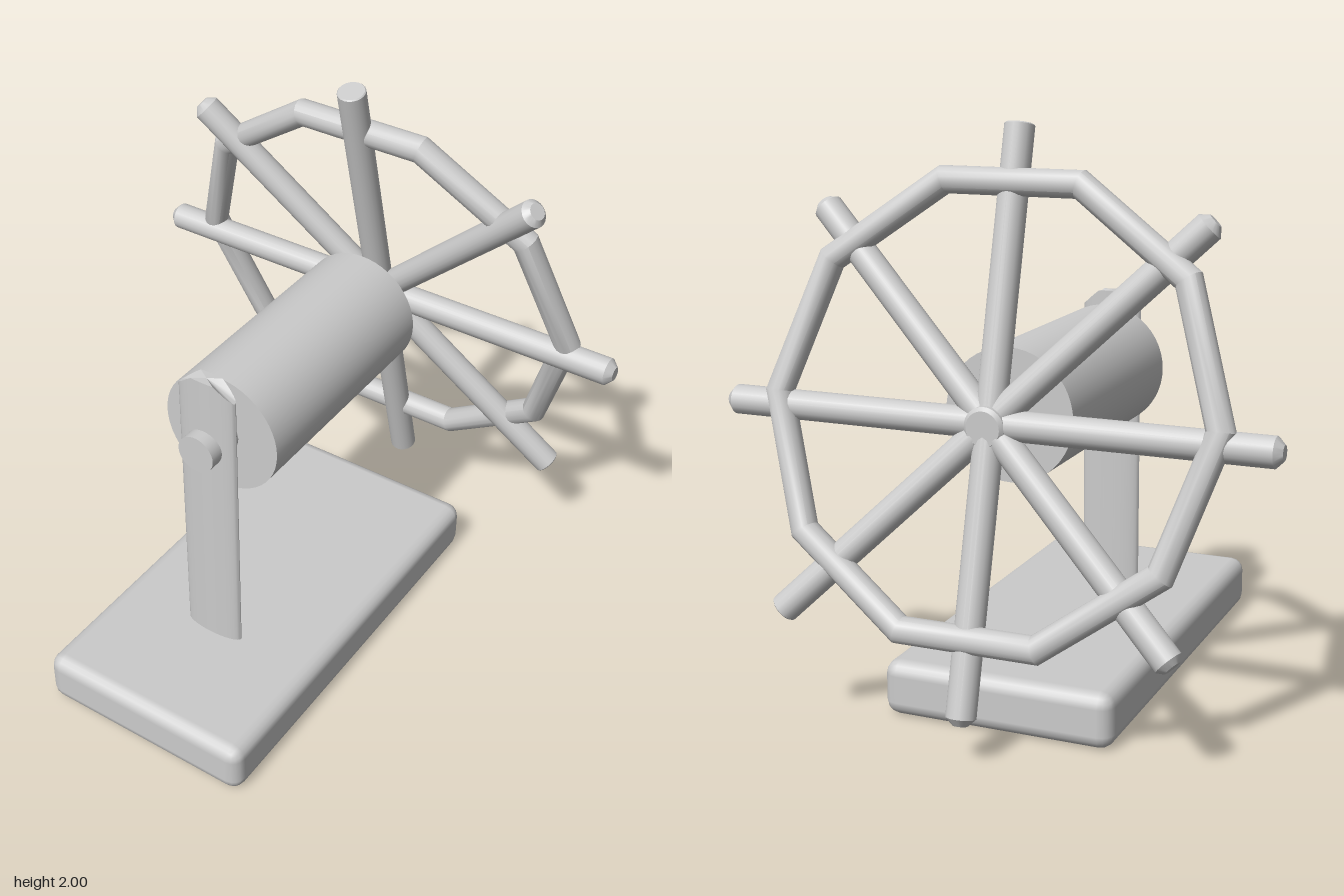
import * as THREE from 'three';
import { toCreasedNormals } from 'three/addons/utils/BufferGeometryUtils.js';
import { RoundedBoxGeometry } from 'three/addons/geometries/RoundedBoxGeometry.js';

const material = new THREE.MeshStandardMaterial({ color: 0xcccccc });
const AXIS_Y = 1.06;
const TILT = 0.262;

function add(parent, name, geometry, x = 0, y = 0, z = 0) {
  const mesh = new THREE.Mesh(geometry, material);
  mesh.name = name;
  mesh.position.set(x, y, z);
  parent.add(mesh);
  return mesh;
}

// Round bar along y; each end can have its own chamfer
function bar(radius, length, bottom, top, sides = 20) {
  const h = length / 2;
  const profile = [[0, -h], [radius - bottom, -h]];
  if (bottom) profile.push([radius, -h + bottom]);
  if (top) profile.push([radius, h - top]);
  profile.push([radius - top, h], [0, h]);
  const geometry = new THREE.LatheGeometry(profile.map(([x, y]) => new THREE.Vector2(x, y)), sides);
  return toCreasedNormals(geometry, 0.5);
}

// Upright with a lens-like section and cut top corners
function uprightGeometry(height) {
  const geometry = new THREE.CylinderGeometry(1, 1, height, 32, 1);
  const p = geometry.attributes.position;
  for (let i = 0; i < p.count; i++) {
    const x = p.getX(i) * 0.113;
    const drop = p.getY(i) > 0 ? Math.max(0, Math.abs(x) - 0.045) * 0.85 : 0;
    p.setXYZ(i, x, p.getY(i) - drop, p.getZ(i) * 0.03);
  }
  return toCreasedNormals(geometry, 0.7);
}

export function createModel() {
  const model = new THREE.Group();
  model.name = 'wheelAndDrum';

  // Stand
  add(model, 'base', new RoundedBoxGeometry(0.83, 0.195, 1.55, 2, 0.05), 0.003, 0.0975, 0.155);
  add(model, 'upright', uprightGeometry(1.17), 0, 0.745, 0.47);

  // Drum on its axle
  add(model, 'axle', bar(0.07, 1.23, 0.012, 0, 32), 0, AXIS_Y, -0.07).rotation.x = Math.PI / 2;
  add(model, 'drum', bar(0.226, 0.88, 0, 0, 48), 0, AXIS_Y, -0.04).rotation.x = Math.PI / 2;

  // Tilted wheel
  const wheel = new THREE.Group();
  wheel.name = 'wheel';
  wheel.position.set(0, AXIS_Y + 0.005, -0.625);
  wheel.rotation.x = TILT;
  model.add(wheel);

  const rim = toCreasedNormals(new THREE.TorusGeometry(0.765, 0.048, 16, 10), 0.5);
  add(wheel, 'rim', rim, 0, 0.042, -0.02);

  // Four full-width bars make the eight handles
  const chamfers = [[0.025, 0.004], [0.004, 0.025], [0.025, 0.025], [0.02, 0.02]];
  chamfers.forEach(([bottom, top], i) => {
    add(wheel, 'spoke', bar(0.05, 1.92, bottom, top)).rotation.z = i * Math.PI / 4;
  });

  return model;
}
